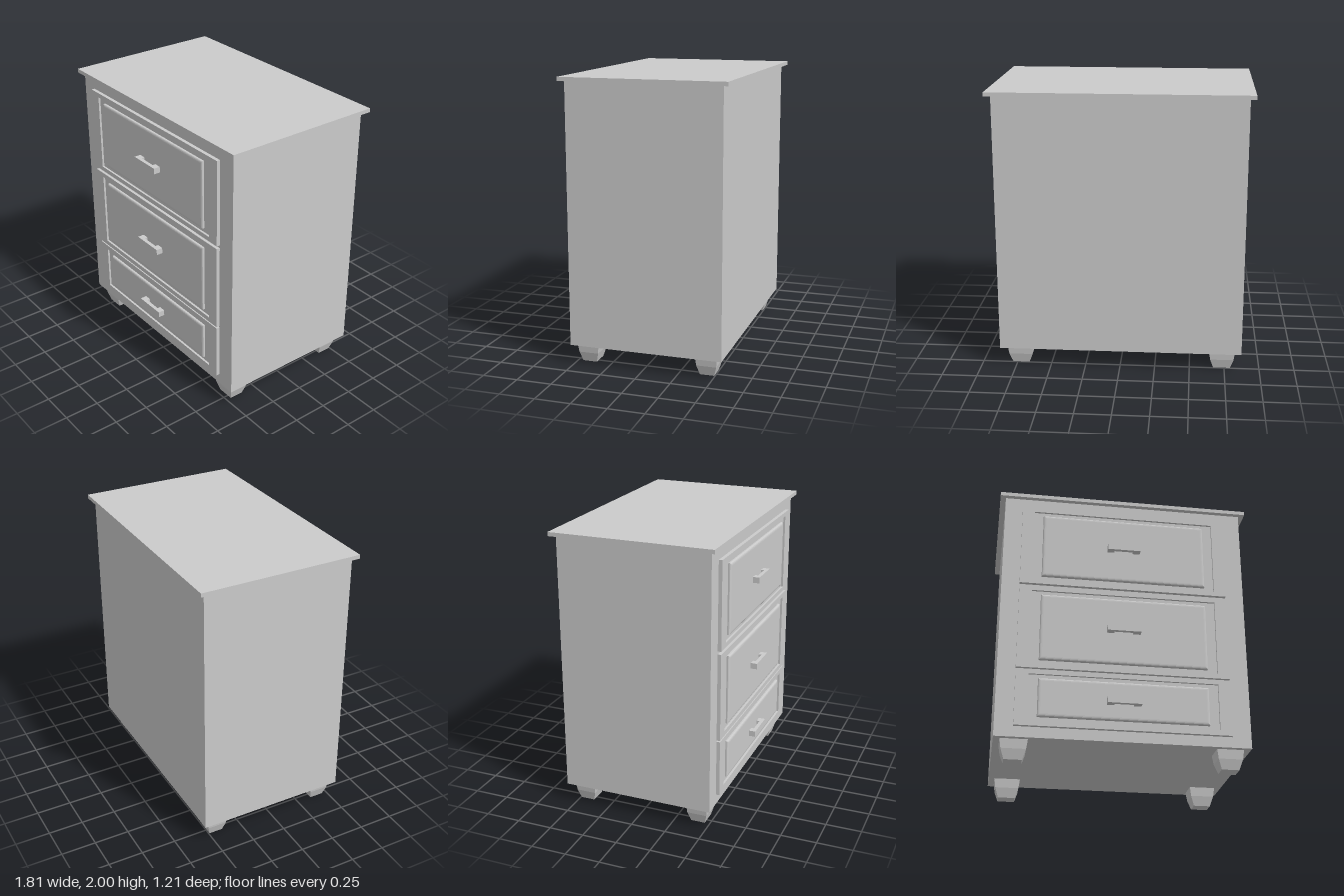
import * as THREE from 'three';

const material = new THREE.MeshStandardMaterial({ color: 0xcccccc });

function addMesh(parent, name, geometry) {
  const mesh = new THREE.Mesh(geometry, material);
  mesh.name = name;
  parent.add(mesh);
  return mesh;
}

// Box given by its minimum and maximum on each axis
function addBox(parent, name, [x0, x1], [y0, y1], [z0, z1]) {
  const mesh = addMesh(parent, name, new THREE.BoxGeometry(x1 - x0, y1 - y0, z1 - z0));
  mesh.position.set((x0 + x1) / 2, (y0 + y1) / 2, (z0 + z1) / 2);
  return mesh;
}

function rectangle(path, [x0, x1], [y0, y1]) {
  path.moveTo(x0, y0);
  path.lineTo(x1, y0);
  path.lineTo(x1, y1);
  path.lineTo(x0, y1);
  path.closePath();
  return path;
}

const FRONT = 0.525; // front plane of the carcass

function createDrawer(name, outer, inner, panel, handleY) {
  const drawer = new THREE.Group();
  drawer.name = name;

  // Frame around the recess
  const shape = rectangle(new THREE.Shape(), [-0.742, 0.73], outer);
  shape.holes.push(rectangle(new THREE.Path(), [-0.655, 0.645], inner));
  const frame = new THREE.ExtrudeGeometry(shape, { depth: 0.025, bevelEnabled: false });
  addMesh(drawer, 'drawerFrame', frame).position.z = FRONT;

  // Recess floor
  addBox(drawer, 'drawerRecess', [-0.655, 0.645], inner, [FRONT, 0.535]);

  // Raised panel with a softly rounded edge
  const raised = new THREE.ExtrudeGeometry(rectangle(new THREE.Shape(), [-0.59, 0.577], panel), {
    depth: 0.02, bevelThickness: 0.01, bevelSize: 0.02, bevelOffset: -0.02, bevelSegments: 4,
  });
  addMesh(drawer, 'raisedPanel', raised).position.z = FRONT;

  // Square bracket handle
  const handle = new THREE.Shape();
  [[-0.127, -0.55], [-0.127, -0.603], [0.107, -0.603], [0.107, -0.55],
    [0.055, -0.55], [0.055, -0.577], [-0.078, -0.577], [-0.078, -0.55]]
    .forEach(([x, y], i) => (i ? handle.lineTo(x, y) : handle.moveTo(x, y)));
  const grip = new THREE.ExtrudeGeometry(handle, { depth: 0.042, bevelEnabled: false });
  grip.rotateX(-Math.PI / 2);
  addMesh(drawer, 'handle', grip).position.y = handleY - 0.021;
  return drawer;
}

export function createModel() {
  const model = new THREE.Group();
  model.name = 'chestOfDrawers';

  addBox(model, 'carcass', [-0.868, 0.864], [0.135, 1.972], [-0.564, FRONT]);
  addBox(model, 'topBoard', [-0.907, 0.905], [1.972, 2], [-0.603, 0.558]);

  // Drawers: outer, recess and panel heights, handle height
  model.add(
    createDrawer('topDrawer', [1.27, 1.89], [1.303, 1.858], [1.333, 1.828], 1.583),
    createDrawer('middleDrawer', [0.625, 1.249], [0.66, 1.215], [0.688, 1.185], 0.94),
    createDrawer('bottomDrawer', [0.21, 0.615], [0.248, 0.58], [0.276, 0.551], 0.404),
  );

  // Tapered four-sided feet
  const profile = [[0, 0], [0.65, 0], [0.9, 0.07], [1, 0.135], [0, 0.135]]
    .map(([r, y]) => new THREE.Vector2(r * Math.SQRT2, y));
  const foot = new THREE.LatheGeometry(profile, 4, Math.PI / 4).toNonIndexed();
  foot.scale(0.093, 1, 0.078);
  foot.computeVertexNormals();
  for (const x of [-0.732, 0.724]) {
    for (const z of [0.413, -0.443]) addMesh(model, 'foot', foot).position.set(x, 0, z);
  }
  return model;
}
